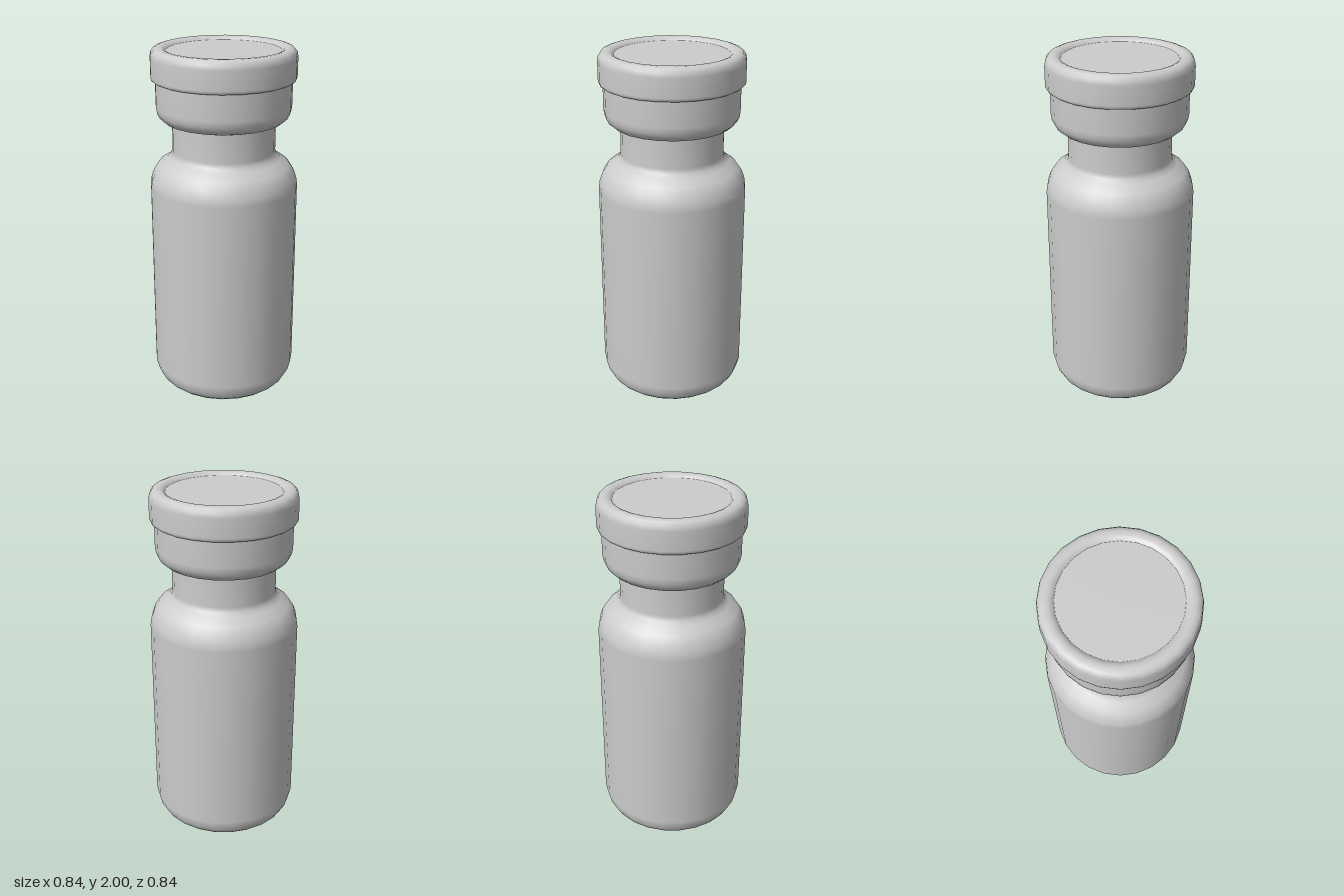
import * as THREE from 'three';

const SEGMENTS = 24;

export function createModel() {
  const model = new THREE.Group();
  model.name = 'vial';
  const material = new THREE.MeshStandardMaterial({ color: 0xcccccc });

  // Each profile is a list of [radius, height], smooth along its length;
  // separate profiles meet in a sharp edge.
  function turn(name, parent, ...profiles) {
    const part = new THREE.Group();
    part.name = name;
    profiles.forEach((profile, i) => {
      const points = profile.map(([r, y]) => new THREE.Vector2(r, y));
      const mesh = new THREE.Mesh(new THREE.LatheGeometry(points, SEGMENTS), material);
      mesh.name = `${name}Surface${i + 1}`;
      part.add(mesh);
    });
    parent.add(part);
  }

  // Bottle: flat base, rounded heel, straight wall, shoulder and neck
  turn('bottle', model,
    [[0, 0], [0.362, 0]],
    [[0.362, 0], [0.385, 0.02], [0.405, 0.055], [0.419, 0.11], [0.419, 1.22],
      [0.413, 1.26], [0.397, 1.305], [0.37, 1.345], [0.32, 1.378], [0.298, 1.4],
      [0.29, 1.425], [0.29, 1.6]]);

  // Crimped collar: flat underside, rounded lower edge, straight skirt
  turn('collar', model,
    [[0.27, 1.59], [0.31, 1.59], [0.335, 1.598], [0.36, 1.62], [0.374, 1.647],
      [0.379, 1.68], [0.379, 1.83]]);

  // Cap lip: overhanging underside, wall and rounded rim
  turn('capLip', model,
    [[0.36, 1.825], [0.394, 1.825]],
    [[0.394, 1.825], [0.401, 1.831], [0.404, 1.845], [0.404, 1.95],
      [0.399, 1.975], [0.386, 1.993], [0.365, 2], [0.343, 1.999],
      [0.327, 1.993], [0.317, 1.982]]);

  // Slightly sunken top disc
  turn('topDisc', model, [[0.317, 1.982], [0, 1.982]]);

  return model;
}
